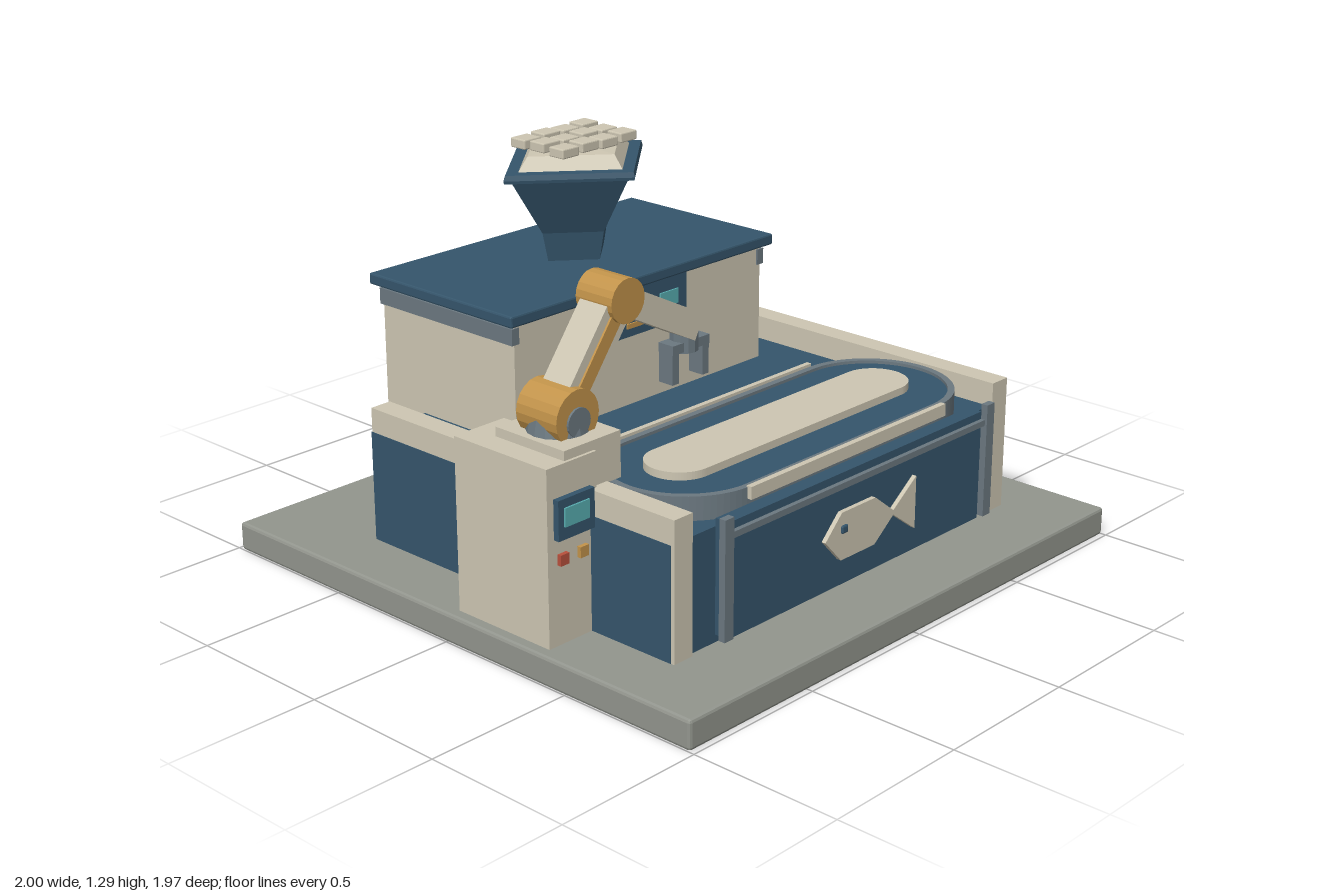
import * as THREE from 'three';
import { RoundedBoxGeometry } from 'three/addons/geometries/RoundedBoxGeometry.js';

const mat = (color) => new THREE.MeshStandardMaterial({ color, flatShading: true });
const BLUE = mat(0x35556b), DARK = mat(0x2a4254), CREAM = mat(0xcdc6b2), GREY = mat(0x92958d);
const STEEL = mat(0x6b7880), ORANGE = mat(0xc2934a), CYAN = mat(0x58adb0), RED = mat(0xb8503c);

export function createModel() {
  const root = new THREE.Group();

  const add = (name, geo, material, parent = root) => {
    const m = new THREE.Mesh(geo, material);
    m.name = name;
    parent.add(m);
    return m;
  };
  // box from its lower and upper limits on each axis
  const box = (name, material, x0, x1, y0, y1, z0, z1, bevel = 0) => {
    const s = [x1 - x0, y1 - y0, z1 - z0];
    const geo = bevel ? new RoundedBoxGeometry(...s, 1, bevel) : new THREE.BoxGeometry(...s);
    const m = add(name, geo, material);
    m.position.set((x0 + x1) / 2, (y0 + y1) / 2, (z0 + z1) / 2);
    return m;
  };
  // stadium outline, long in x
  const stadium = (half, r, Kind = THREE.Shape) => {
    const s = new Kind();
    s.absarc(half, 0, r, -Math.PI / 2, Math.PI / 2, false);
    s.absarc(-half, 0, r, Math.PI / 2, Math.PI * 1.5, false);
    s.closePath();
    return s;
  };
  const slab = (name, material, shape, y0, y1, z) => {
    const geo = new THREE.ExtrudeGeometry(shape, { depth: y1 - y0, bevelEnabled: false, curveSegments: 20 });
    geo.rotateX(-Math.PI / 2);
    add(name, geo, material).position.set(0, y0, z);
  };

  // ground plate and counter
  box('basePlate', GREY, -1, 1, 0, 0.095, -0.985, 0.985, 0.01);
  box('counterBody', BLUE, -0.788, 0.788, 0.095, 0.46, -0.562, 0.715);
  for (const s of [-1, 1]) {
    const [a, b] = s > 0 ? [0.71, 0.786] : [-0.786, -0.71];
    box('sidePanel', CREAM, a, b, 0.095, 0.54, -0.56, 0.728);
  }

  // oval conveyor
  slab('conveyorBelt', BLUE, stadium(0.44, 0.245), 0.46, 0.525, 0.45);
  const rim = stadium(0.44, 0.262);
  rim.holes.push(stadium(0.44, 0.24, THREE.Path));
  slab('conveyorRim', STEEL, rim, 0.46, 0.535, 0.45);
  slab('conveyorIsland', CREAM, stadium(0.46, 0.107), 0.52, 0.55, 0.445);
  box('frontGuardRail', CREAM, -0.46, 0.46, 0.5, 0.54, 0.708, 0.727);
  box('rearGuardRail', CREAM, -0.46, 0.46, 0.5, 0.54, 0.162, 0.18);

  // front panel with its frame
  box('frontPanel', BLUE, -0.6, 0.6, 0.12, 0.485, 0.715, 0.765);
  box('panelTrim', STEEL, -0.6, 0.6, 0.44, 0.46, 0.76, 0.78);
  for (const x of [-0.62, 0.62]) box('panelPost', STEEL, x - 0.019, x + 0.019, 0.13, 0.51, 0.764, 0.787);

  // fish plaque
  const fishShape = new THREE.Shape([
    [-0.185, 0.29], [-0.11, 0.21], [0.05, 0.21], [0.14, 0.28], [0.25, 0.2],
    [0.25, 0.375], [0.14, 0.295], [0.05, 0.365], [-0.11, 0.365],
  ].map(([x, y]) => new THREE.Vector2(x, y)));
  const fish = new THREE.ExtrudeGeometry(fishShape, { depth: 0.016, bevelEnabled: false });
  add('fishPlaque', fish, CREAM).position.z = 0.764;
  box('fishEye', BLUE, -0.113, -0.085, 0.297, 0.323, 0.775, 0.787, 0.005);

  // rear housing and roof
  box('housing', CREAM, -0.565, 0.565, 0.095, 0.86, -0.742, -0.14);
  box('roof', BLUE, -0.6, 0.6, 0.855, 0.893, -0.768, -0.113, 0.006);
  for (const x of [-0.563, 0.563]) box('eaveRail', STEEL, x - 0.015, x + 0.015, 0.79, 0.843, -0.745, -0.135);

  // status display
  box('display', BLUE, -0.17, 0.18, 0.7, 0.857, -0.145, -0.118);
  for (const x of [-0.095, 0.095]) box('displayScreen', CYAN, x - 0.042, x + 0.042, 0.763, 0.812, -0.125, -0.112);
  box('displayBar', ORANGE, -0.1, 0.1, 0.729, 0.745, -0.125, -0.112);

  // rear service door
  box('rearDoor', BLUE, -0.29, 0.29, 0.11, 0.79, -0.766, -0.738);
  for (let i = 0; i < 5; i++) {
    const y = 0.26 + i * 0.098;
    box('doorLouver', DARK, -0.2, 0.2, y - 0.01, y + 0.01, -0.774, -0.76);
  }
  box('doorHandle', ORANGE, 0.21, 0.234, 0.685, 0.742, -0.784, -0.762);

  // diamond hopper, slightly narrower in z
  const hopper = new THREE.Group();
  hopper.name = 'hopper';
  hopper.position.set(0, 0, -0.44);
  hopper.scale.z = 0.85;
  root.add(hopper);
  const diamond = (name, material, pts) => add(name,
    new THREE.LatheGeometry(pts.map(([r, y]) => new THREE.Vector2(r, y)), 4), material, hopper);
  diamond('hopperBody', BLUE, [[0, 0.885], [0.125, 0.885], [0.15, 0.99], [0.285, 1.19], [0.285, 1.195]]);
  diamond('hopperRim', BLUE, [[0.25, 1.185], [0.312, 1.185], [0.315, 1.195], [0.308, 1.212], [0.25, 1.212], [0.25, 1.185]]);
  diamond('heap', CREAM, [[0.262, 1.2], [0.21, 1.255], [0, 1.262]]);
  for (let i = 0; i < 4; i++) for (let j = 0; j < 3; j++) {
    const x = -0.13 + i * 0.087, z = -0.53 + j * 0.087, y = 1.257 + ((i + j) % 2) * 0.004;
    box('feedBlock', CREAM, x - 0.036, x + 0.036, y, y + 0.032, z - 0.032, z + 0.032, 0.004);
  }

  // control cabinet
  box('cabinet', CREAM, -0.96, -0.762, 0.095, 0.652, 0.02, 0.402);
  box('cabinetPanel', BLUE, -0.935, -0.79, 0.43, 0.555, 0.395, 0.422);
  box('cabinetScreen', CYAN, -0.913, -0.815, 0.47, 0.528, 0.415, 0.428);
  box('redButton', RED, -0.922, -0.888, 0.348, 0.382, 0.395, 0.416);
  box('amberButton', ORANGE, -0.843, -0.809, 0.348, 0.382, 0.395, 0.416);

  // robot arm
  const Z = 0.25, shoulder = [-0.765, 0.735], elbow = [-0.545, 1.03], wrist = [-0.22, 0.865];
  box('armPedestal', CREAM, -0.88, -0.652, 0.535, 0.682, 0.11, 0.392);
  add('turntable', new THREE.CylinderGeometry(0.085, 0.095, 0.05, 16), STEEL).position.set(-0.765, 0.705, Z);
  const joint = (name, material, [x, y], r, depth) => {
    const m = add(name, new THREE.CylinderGeometry(r, r, depth, 20), material);
    m.rotation.x = Math.PI / 2;
    m.position.set(x, y, Z);
  };
  joint('shoulderJoint', ORANGE, shoulder, 0.086, 0.165);
  joint('shoulderCap', STEEL, [-0.765, 0.722], 0.045, 0.18);
  joint('elbowJoint', ORANGE, elbow, 0.069, 0.145);
  const link = (name, material, a, b, w, depth) => {
    const dx = b[0] - a[0], dy = b[1] - a[1];
    const m = add(name, new THREE.BoxGeometry(Math.hypot(dx, dy), w, depth), material);
    m.position.set((a[0] + b[0]) / 2, (a[1] + b[1]) / 2, Z);
    m.rotation.z = Math.atan2(dy, dx);
  };
  link('upperArm', CREAM, shoulder, elbow, 0.105, 0.11);
  link('upperArmInlay', ORANGE, shoulder, elbow, 0.045, 0.124);
  link('forearm', CREAM, elbow, wrist, 0.085, 0.11);

  // gripper
  add('wrist', new THREE.CylinderGeometry(0.045, 0.045, 0.08, 12), STEEL).position.set(-0.23, 0.825, Z);
  box('gripperBar', STEEL, -0.31, -0.148, 0.79, 0.82, Z - 0.03, Z + 0.03);
  for (const x of [-0.296, -0.163]) box('gripperFinger', STEEL, x - 0.014, x + 0.014, 0.695, 0.82, Z - 0.028, Z + 0.028);

  return root;
}
